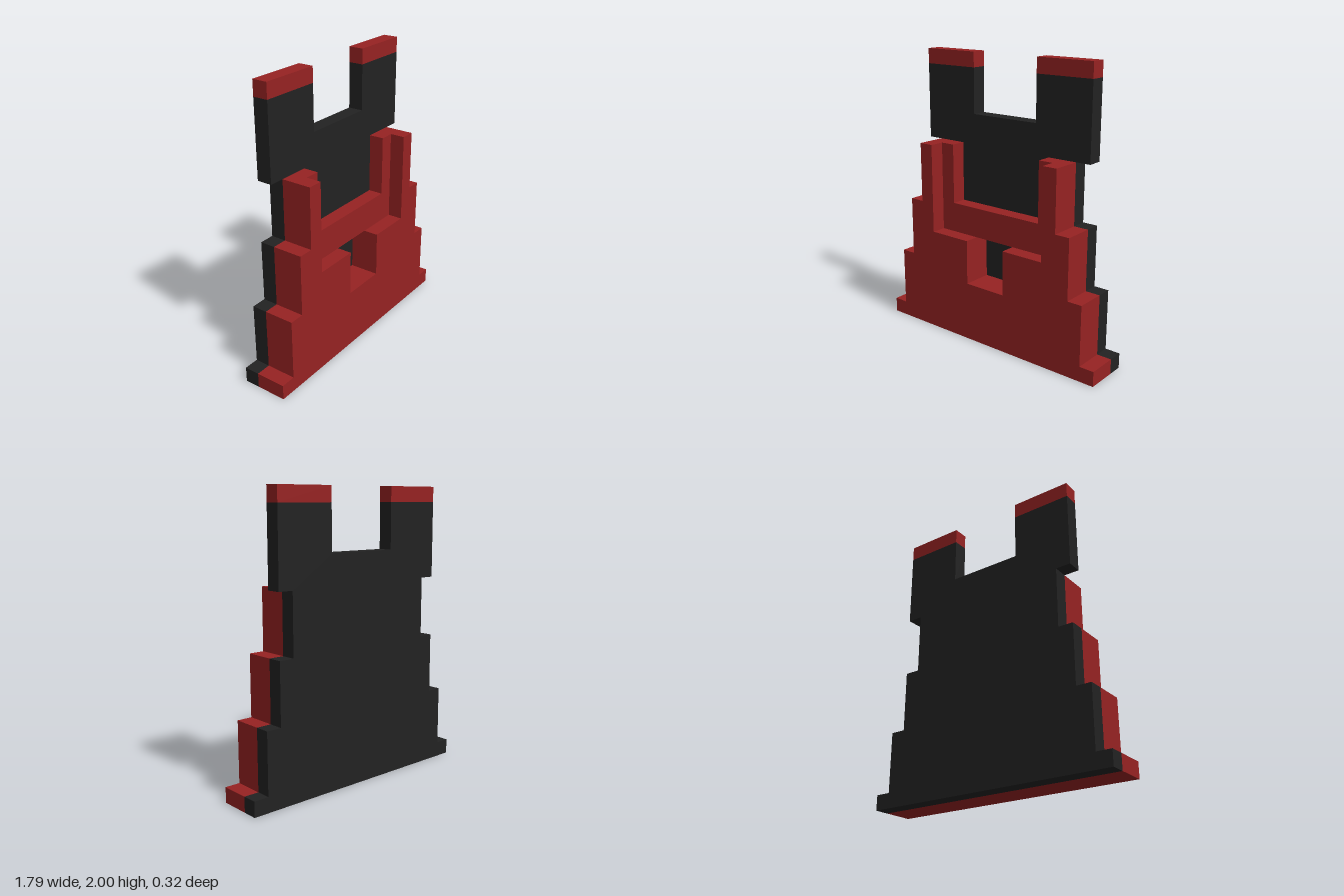
import * as THREE from 'three';

const U = 2 / 19; // one block

// Mirrored outline: points run up the +x side, then back down the -x side
function slab(name, half, z, depth, material, hole) {
  const pts = [...half, ...half.map(([x, y]) => [-x, y]).reverse()];
  const toV = ([x, y]) => new THREE.Vector2(x * U, y * U);
  const shape = new THREE.Shape(pts.map(toV));
  if (hole) shape.holes.push(new THREE.Path(hole.map(toV)));
  const geo = new THREE.ExtrudeGeometry(shape, { depth: depth * U, bevelEnabled: false });
  const mesh = new THREE.Mesh(geo, material);
  mesh.position.z = z * U;
  mesh.name = name;
  return mesh;
}

export function createModel() {
  const red = new THREE.MeshStandardMaterial({ color: 0x962222 });
  red.name = 'dark red';
  const black = new THREE.MeshStandardMaterial({ color: 0x222222 });
  black.name = 'charcoal';

  const model = new THREE.Group();
  model.name = 'steppedTower';

  // Stepped sides shared by all three layers
  const steps = [[8.5, 0], [8.5, 1], [7.5, 1], [7.5, 5], [6.5, 5], [6.5, 9], [5.5, 9], [5.5, 13]];

  // Back plate with two towers
  model.add(slab('backPlate', [...steps, [6.5, 13], [6.5, 18], [2.5, 18], [2.5, 15]], -1.5, 1, black));

  // Middle layer with a square window
  model.add(slab('middleLayer', [...steps, [3.5, 13], [3.5, 9]], -0.5, 1, red,
    [[-1.5, 4], [-1.5, 7], [1.5, 7], [1.5, 4]]));

  // Front layer, cut lower, with an open notch
  model.add(slab('frontLayer', [...steps, [4.5, 13], [4.5, 7], [1.5, 7], [1.5, 4]], 0.5, 1, red));

  // Tower caps
  for (const side of [-1, 1]) {
    const cap = new THREE.Mesh(new THREE.BoxGeometry(4 * U, U, U), red);
    cap.position.set(side * 4.5 * U, 18.5 * U, -U);
    cap.name = side > 0 ? 'leftTowerCap' : 'rightTowerCap';
    model.add(cap);
  }
  return model;
}
